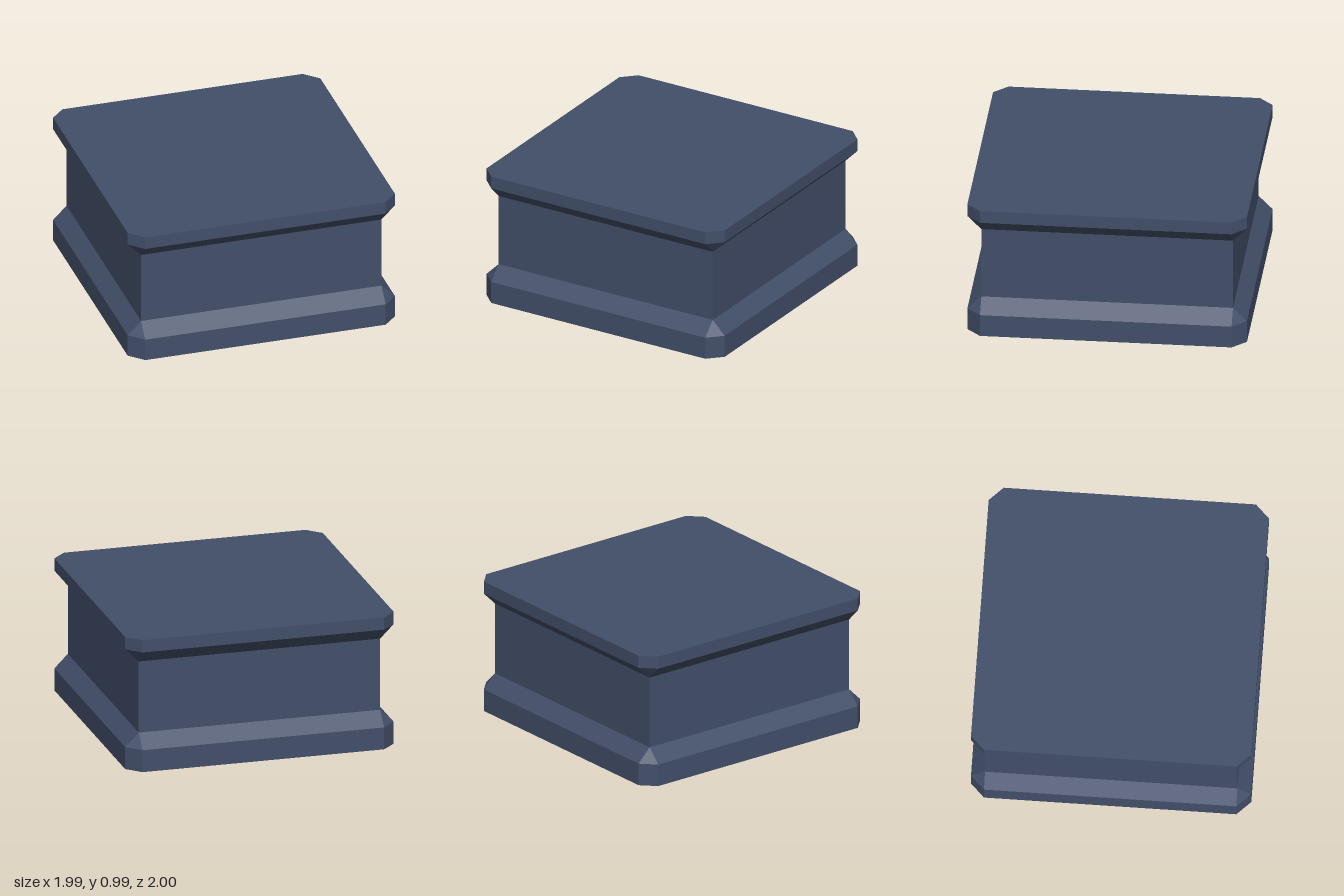
import * as THREE from 'three';

const HALF_X = 0.995, HALF_Z = 1, CHAMFER = 0.1;

// Eight points, anticlockwise from above: chamfered corners when wide, square corners when narrow
function ring(y, wide) {
  const ix = HALF_X - CHAMFER, iz = HALF_Z - CHAMFER;
  const ox = wide ? HALF_X : ix, oz = wide ? HALF_Z : iz;
  return [
    [ix, oz], [ox, iz], [ox, -iz], [ix, -oz],
    [-ix, -oz], [-ox, -iz], [-ox, iz], [-ix, oz],
  ].map(([x, z]) => new THREE.Vector3(x, y, z));
}

// Joins rings from bottom to top, with optional end faces
function loft(rings, { bottom = false, top = false } = {}) {
  const positions = [];
  const tri = (a, b, c) => {
    if (new THREE.Triangle(a, b, c).getArea() < 1e-6) return;
    for (const p of [a, b, c]) positions.push(p.x, p.y, p.z);
  };
  for (let r = 0; r < rings.length - 1; r++) {
    const lo = rings[r], hi = rings[r + 1];
    for (let i = 0; i < 8; i++) {
      const j = (i + 1) % 8;
      tri(lo[i], lo[j], hi[j]);
      tri(lo[i], hi[j], hi[i]);
    }
  }
  const first = rings[0], last = rings[rings.length - 1];
  for (let k = 1; k < 7; k++) {
    if (bottom) tri(first[0], first[k + 1], first[k]);
    if (top) tri(last[0], last[k], last[k + 1]);
  }
  const geometry = new THREE.BufferGeometry();
  geometry.setAttribute('position', new THREE.Float32BufferAttribute(positions, 3));
  geometry.computeVertexNormals();
  return geometry;
}

export function createModel() {
  const group = new THREE.Group();
  group.name = 'pedestal';
  const slateBlue = new THREE.MeshStandardMaterial({ color: 0x424e69 });
  slateBlue.name = 'slateBlue';

  const add = (name, geometry) => {
    const mesh = new THREE.Mesh(geometry, slateBlue);
    mesh.name = name;
    group.add(mesh);
  };

  // Foot with a sloped shoulder
  add('base', loft([ring(0, true), ring(0.165, true), ring(0.265, false)], { bottom: true }));
  // Square body
  add('shaft', loft([ring(0.265, false), ring(0.8, false)]));
  // Flared slab on top
  add('cap', loft([ring(0.8, false), ring(0.9, true), ring(0.993, true)], { top: true }));

  return group;
}
